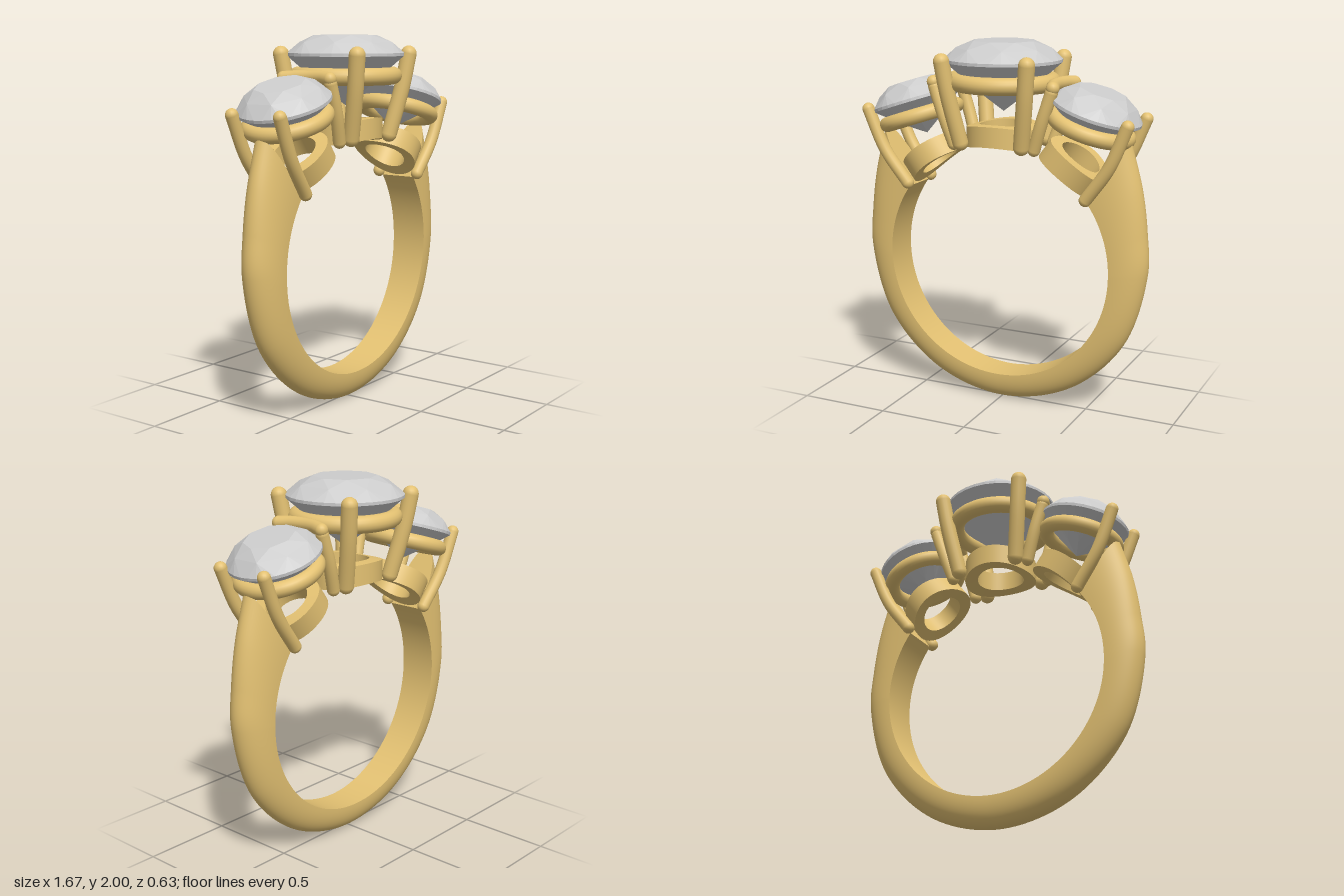
import * as THREE from 'three';
import { ParametricGeometry } from 'three/addons/geometries/ParametricGeometry.js';
import { ConvexGeometry } from 'three/addons/geometries/ConvexGeometry.js';

const CY = 0.805;      // centre height of the finger hole
const FINGER = 0.65;   // radius of the finger hole
const TILT = THREE.MathUtils.degToRad(18);
const V = (x, y, z = 0) => new THREE.Vector3(x, y, z);

const gold = new THREE.MeshStandardMaterial({ color: 0xe3c172, side: THREE.DoubleSide });
const gem = new THREE.MeshStandardMaterial({ color: 0xcccccc, flatShading: true });

function add(parent, name, geometry, material = gold) {
  const mesh = new THREE.Mesh(geometry, material);
  mesh.name = name;
  parent.add(mesh);
  return mesh;
}

// Surface stretched between two curves a(u) and b(u)
const ruled = (a, b, n) =>
  new ParametricGeometry((u, v, t) => t.copy(a(u)).lerp(b(u), v), n, 1);

// Round wire with ball ends
function wire(parent, name, points, r) {
  const g = new THREE.Group();
  g.name = name;
  const curve = new THREE.CatmullRomCurve3(points);
  add(g, 'wireBody', new THREE.TubeGeometry(curve, 8 * points.length, r, 18));
  for (const p of [points[0], points[points.length - 1]]) {
    add(g, 'wireEnd', new THREE.SphereGeometry(r, 18, 12)).position.copy(p);
  }
  parent.add(g);
}

// Shank: D-shaped section swept from one shoulder, under the finger, to the other
function makeShank() {
  const g = new THREE.Group();
  g.name = 'shank';
  const knots = [0, 30, 60, 90, 102, 114, 126];
  const half = [[0, 0], [0.403, 0.106], [0.706, 0.397], [0.83, CY], [0.822, 1.03], [0.79, 1.26], [0.725, 1.5]];
  const outline = new THREE.CatmullRomCurve3([
    ...half.slice(1).reverse().map(([x, y]) => V(-x, y)),
    ...half.map(([x, y]) => V(x, y)),
  ]);
  const innerPoint = (u) => {
    const s = Math.abs(u * 12 - 6), i = Math.min(5, Math.floor(s));
    const phi = THREE.MathUtils.degToRad(knots[i] + (knots[i + 1] - knots[i]) * (s - i));
    return V(Math.sign(u - 0.5) * FINGER * Math.sin(phi), CY - FINGER * Math.cos(phi));
  };
  const section = (u, v) => {
    const a = v * Math.PI, w = 0.092 + 0.014 * Math.min(1, Math.abs(u - 0.5) * 4);
    const p = innerPoint(u).lerp(outline.getPoint(u), Math.pow(Math.sin(a), 0.9));
    return p.setZ(-w * Math.cos(a));
  };
  add(g, 'shankOutside', new ParametricGeometry((u, v, t) => t.copy(section(u, Math.min(1, Math.max(0, v)))), 120, 28));
  add(g, 'shankInside', ruled((u) => section(u, 1), (u) => section(u, 0), 120));
  for (const end of [0, 1]) {
    add(g, 'shoulderEnd', ruled((v) => section(end, v / 2), (v) => section(end, 1 - v / 2), 20));
  }
  return g;
}

// Gallery ring: round collar trimmed to the curve of the finger hole
function makeGallery(outer, inner, angle) {
  const g = new THREE.Group();
  g.name = 'galleryRing';
  const edge = (rho, R) => (u) => {
    const a = u * Math.PI * 2, x = rho * Math.cos(a);
    return V(x, Math.sqrt(R * R - x * x), rho * Math.sin(a));
  };
  const loop = [[inner, 0.76], [outer, 0.76], [outer, FINGER], [inner, FINGER]].map((c) => edge(...c));
  loop.forEach((c, i) => add(g, 'galleryFace', ruled(c, loop[(i + 1) % 4], 48)));
  g.position.y = CY;
  g.rotation.z = -angle;
  return g;
}

// Round brilliant: table, crown points, girdle, pavilion and culet
function makeStone(name, R, crown, depth) {
  const pts = [];
  const ring = (n, r, y, shift = 0) => {
    for (let i = 0; i < n; i++) {
      const a = ((i + shift) / n) * Math.PI * 2;
      pts.push(V(r * Math.cos(a), y, r * Math.sin(a)));
    }
  };
  ring(8, R * 0.54, crown);
  ring(8, R * 0.81, crown * 0.62, 0.5);
  ring(32, R, 0.006);
  ring(32, R, -0.01);
  ring(8, R * 0.3, -depth * 0.74, 0.5);
  pts.push(V(0, -depth, 0));
  const mesh = new THREE.Mesh(new ConvexGeometry(pts), gem);
  mesh.name = name;
  return mesh;
}

// Seat: the round wire ring below a stone
function addSeat(parent, R, r, y) {
  const seat = add(parent, 'seatRing', new THREE.TorusGeometry(R, r, 18, 64));
  seat.rotation.x = Math.PI / 2;
  seat.position.y = y;
}

function makeCentreSetting() {
  const g = new THREE.Group();
  g.name = 'centreSetting';
  const stone = makeStone('centreStone', 0.315, 0.1, 0.275);
  stone.position.y = 1.9;
  g.add(stone);
  addSeat(g, 0.258, 0.046, 1.785);
  g.add(makeGallery(0.2, 0.13, 0));
  for (const x of [-1, 1]) for (const z of [-1, 1]) {
    wire(g, 'centreProng', [
      V(x * 0.178, 1.465, z * 0.165), V(x * 0.22, 1.72, z * 0.22), V(x * 0.243, 1.9, z * 0.247),
    ], 0.043);
  }
  return g;
}

function makeSideSetting(s) {
  const g = new THREE.Group();
  g.name = s > 0 ? 'leftSetting' : 'rightSetting';

  // Tilted stone with its seat
  const head = new THREE.Group();
  head.name = 'tiltedHead';
  head.add(makeStone('sideStone', 0.247, 0.105, 0.195));
  addSeat(head, 0.2, 0.042, -0.092);
  head.position.set(s * 0.53, 1.66, 0);
  head.rotation.z = -s * TILT;
  g.add(head);

  g.add(makeGallery(0.183, 0.118, s * THREE.MathUtils.degToRad(36.5)));
  for (const z of [-1, 1]) {
    wire(g, 'outerProng', [
      V(s * 0.525, 1.21, z * 0.13), V(s * 0.655, 1.39, z * 0.145), V(s * 0.752, 1.61, z * 0.153),
    ], 0.034);
    wire(g, 'innerProng', [
      V(s * 0.235, 1.45, z * 0.13), V(s * 0.285, 1.6, z * 0.148), V(s * 0.338, 1.755, z * 0.15),
    ], 0.034);
  }
  // Curved bar joining the inner prongs around the stone
  wire(g, 'prongBar', [
    V(s * 0.345, 1.78, -0.15), V(s * 0.322, 1.785, -0.08), V(s * 0.313, 1.785, 0),
    V(s * 0.322, 1.785, 0.08), V(s * 0.345, 1.78, 0.15),
  ], 0.035);
  return g;
}

export function createModel() {
  const model = new THREE.Group();
  model.name = 'threeStoneRing';
  model.add(makeShank(), makeCentreSetting(), makeSideSetting(1), makeSideSetting(-1));
  return model;
}
